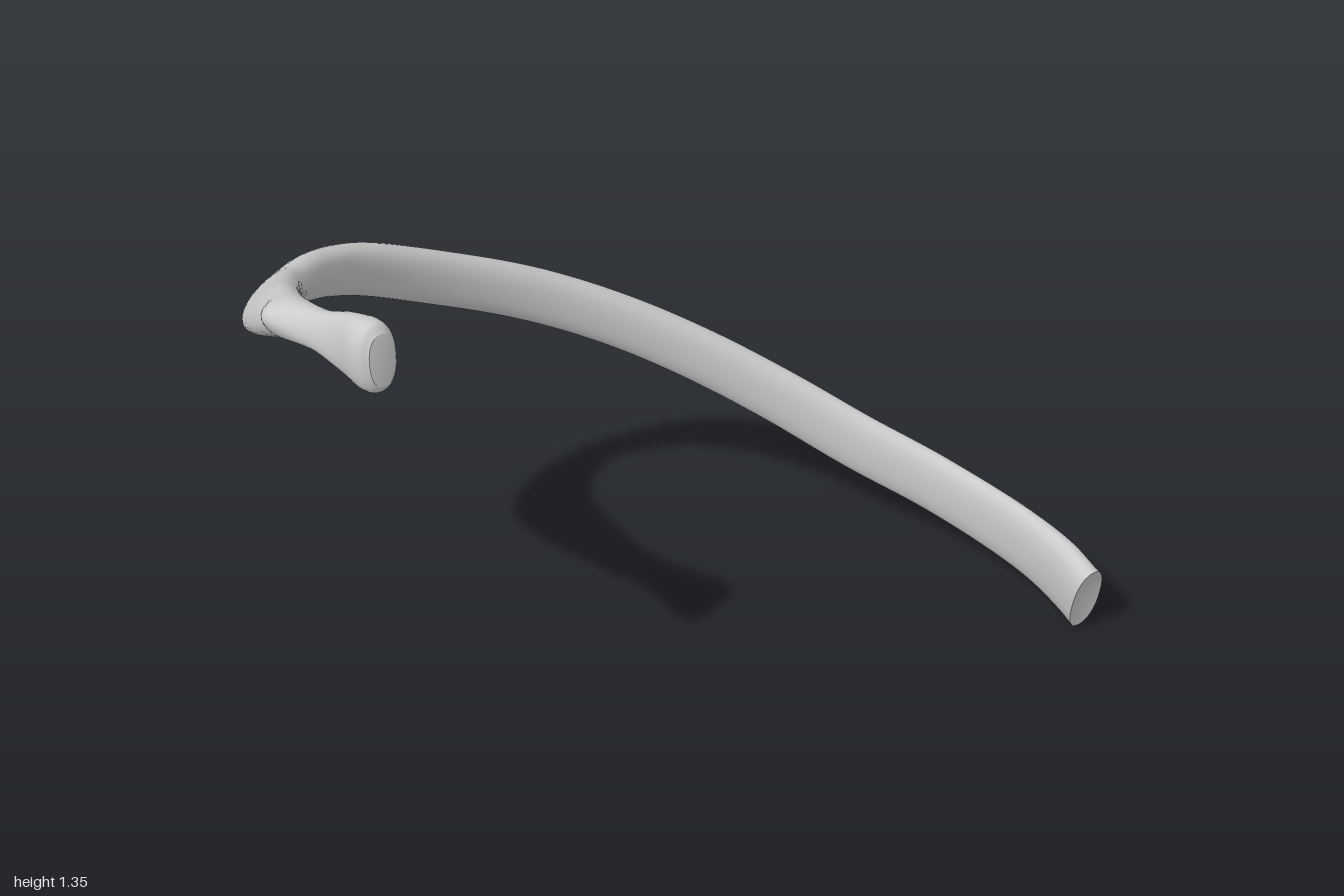
import * as THREE from 'three';

// Stations along the bone, from the front end, round the back, to the head:
// x, y, z, half height, half thickness, inward lean of the upper edge
const STATIONS = [
  [0.955, 0.108, -0.145, 0.112, 0.044, 0.15],
  [0.90, 0.135, -0.215, 0.108, 0.040, 0.12],
  [0.80, 0.162, -0.320, 0.097, 0.034, 0.08],
  [0.60, 0.215, -0.460, 0.088, 0.034, 0.05],
  [0.40, 0.285, -0.540, 0.084, 0.034, 0.03],
  [0.20, 0.390, -0.583, 0.078, 0.035, 0.03],
  [0.00, 0.505, -0.590, 0.074, 0.038, 0.05],
  [-0.20, 0.620, -0.563, 0.072, 0.039, 0.08],
  [-0.40, 0.730, -0.500, 0.072, 0.039, 0.12],
  [-0.60, 0.840, -0.390, 0.072, 0.039, 0.2],
  [-0.80, 0.965, -0.225, 0.075, 0.040, 0.4],
  [-0.89, 1.015, -0.100, 0.083, 0.041, 0.6],
  [-0.93, 1.047, 0.030, 0.088, 0.042, 0.75],
  [-0.91, 1.115, 0.170, 0.074, 0.042, 0.8],
  [-0.87, 1.185, 0.300, 0.058, 0.044, 0.7],
  [-0.825, 1.225, 0.390, 0.048, 0.043, 0.5],
  [-0.755, 1.245, 0.465, 0.046, 0.036, 0.3],
  [-0.69, 1.258, 0.530, 0.070, 0.037, 0.1],
  [-0.645, 1.264, 0.575, 0.084, 0.050, 0],
  [-0.622, 1.266, 0.596, 0.080, 0.046, 0],
  [-0.612, 1.267, 0.606, 0.062, 0.034, 0],
];
const RINGS = 160, SIDES = 28;
const UP = new THREE.Vector3(0, 1, 0);
const TUBERCLE = new THREE.Vector3(-0.87, 1.235, 0.41);

const path = new THREE.CatmullRomCurve3(STATIONS.map(s => new THREE.Vector3(s[0], s[1], s[2])));
const sizes = new THREE.CatmullRomCurve3(
  STATIONS.map(s => new THREE.Vector3(s[3], s[4], s[5])), false, 'catmullrom', 0.5);

// One closed cross-section, flattened oval, with a knob raised at the tubercle
function ring(u) {
  const c = path.getPoint(u), t = path.getTangent(u), s = sizes.getPoint(u);
  const out = new THREE.Vector3().crossVectors(t, UP).normalize();
  const tall = new THREE.Vector3().crossVectors(out, t).normalize();
  tall.applyAxisAngle(t, -s.z);
  out.applyAxisAngle(t, -s.z);
  const points = [];
  for (let j = 0; j < SIDES; j++) {
    const a = (j / SIDES) * Math.PI * 2;
    const squash = v => Math.sign(v) * Math.pow(Math.abs(v), 0.88);
    const p = c.clone()
      .addScaledVector(tall, squash(Math.cos(a)) * s.x)
      .addScaledVector(out, squash(Math.sin(a)) * s.y);
    const bump = Math.exp(-p.distanceToSquared(TUBERCLE) / 0.0022);
    p.addScaledVector(out, 0.03 * bump * Math.max(0, Math.sin(a)));
    points.push(p);
  }
  return points;
}

function geometryFrom(points, index) {
  const g = new THREE.BufferGeometry().setFromPoints(points);
  g.setIndex(index);
  g.computeVertexNormals();
  return g;
}

// Skin through all cross-sections
function shaftGeometry() {
  const points = [], index = [];
  for (let i = 0; i <= RINGS; i++) points.push(...ring(i / RINGS));
  for (let i = 0; i < RINGS; i++) {
    for (let j = 0; j < SIDES; j++) {
      const a = i * SIDES + j, b = i * SIDES + (j + 1) % SIDES;
      index.push(a, b, a + SIDES, b, b + SIDES, a + SIDES);
    }
  }
  return geometryFrom(points, index);
}

// End face; depth moves its middle along the path
function capGeometry(u, depth) {
  const points = ring(u), index = [];
  points.push(path.getPoint(u).addScaledVector(path.getTangent(u), depth));
  for (let j = 0; j < SIDES; j++) {
    const k = (j + 1) % SIDES;
    if (u === 0) index.push(SIDES, k, j);
    else index.push(SIDES, j, k);
  }
  return geometryFrom(points, index);
}

export function createModel() {
  const group = new THREE.Group();
  group.name = 'rib';
  const material = new THREE.MeshStandardMaterial({ color: 0xcccccc });
  const add = (name, geometry) => {
    const mesh = new THREE.Mesh(geometry, material);
    mesh.name = name;
    group.add(mesh);
  };
  add('ribShaft', shaftGeometry());
  add('frontEndFace', capGeometry(0, 0.02)); // shallow hollow
  add('headFace', capGeometry(1, 0.006)); // slightly domed
  return group;
}
